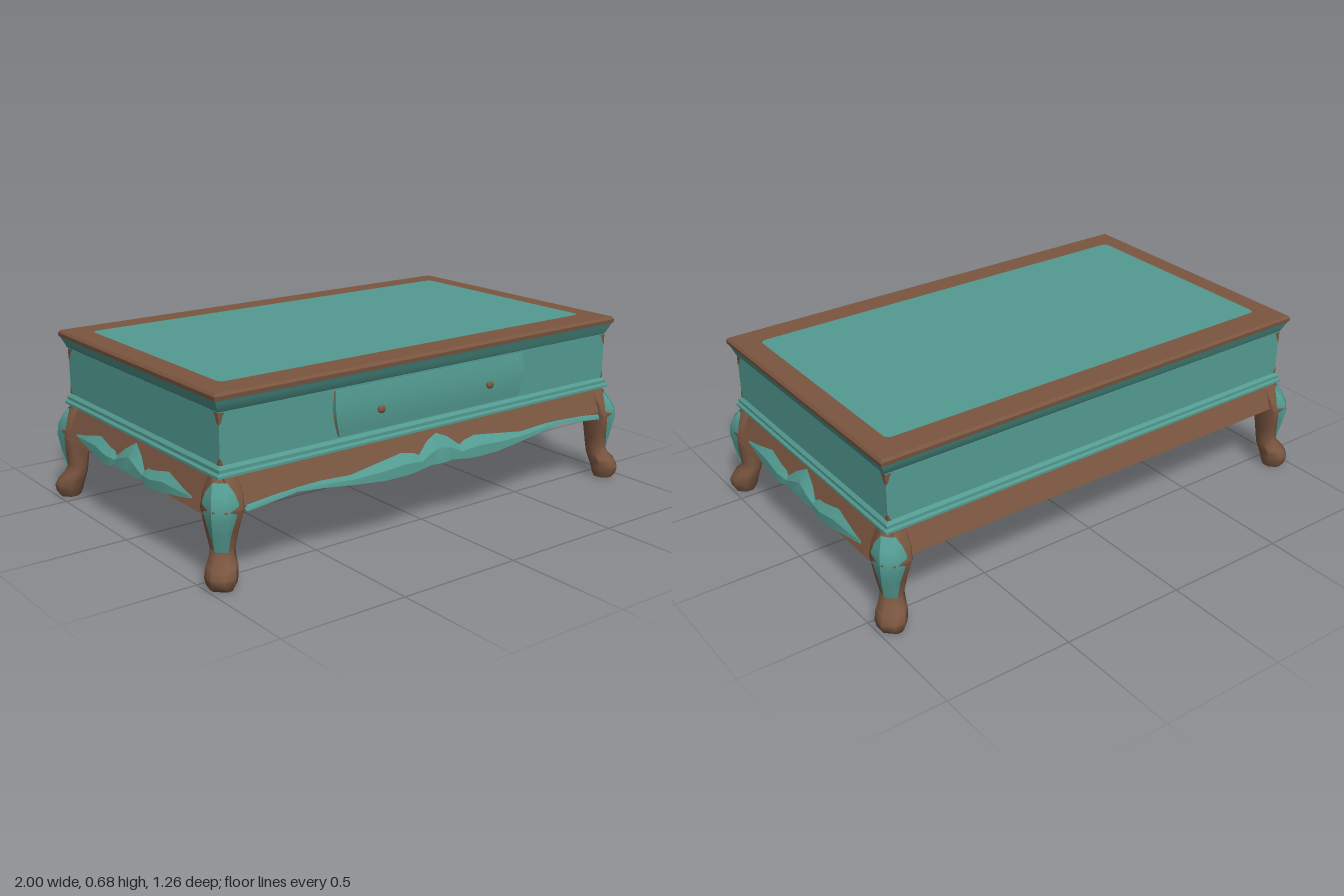
import * as THREE from 'three';
import { toCreasedNormals } from 'three/addons/utils/BufferGeometryUtils.js';

const teal = new THREE.MeshStandardMaterial({ color: 0x539b91, side: THREE.DoubleSide });
teal.name = 'teal paint';
const brown = new THREE.MeshStandardMaterial({ color: 0x7a5640, side: THREE.DoubleSide });
brown.name = 'brown wood';

// Skin a series of cross-sections; closed sections wrap round and can be capped.
function loft(rings, { closed = true, caps = true, crease = 0.6 } = {}) {
  const pos = [];
  const tri = (a, b, c) => pos.push(...a, ...b, ...c);
  const n = rings[0].length;
  for (let i = 0; i < rings.length - 1; i++) {
    for (let j = 0; j < (closed ? n : n - 1); j++) {
      const k = (j + 1) % n;
      const a = rings[i][j], b = rings[i][k], c = rings[i + 1][k], d = rings[i + 1][j];
      tri(a, d, b);
      tri(b, d, c);
    }
  }
  if (closed && caps) {
    const first = rings[0], last = rings[rings.length - 1];
    for (let j = 1; j < n - 1; j++) {
      tri(first[0], first[j], first[j + 1]);
      tri(last[0], last[j + 1], last[j]);
    }
  }
  const geo = new THREE.BufferGeometry();
  geo.setAttribute('position', new THREE.Float32BufferAttribute(pos, 3));
  geo.computeVertexNormals();
  return toCreasedNormals(geo, crease);
}

function add(parent, name, geo, mat) {
  const mesh = new THREE.Mesh(geo, mat);
  mesh.name = name;
  parent.add(mesh);
  return mesh;
}

// Rectangular moulding from [y, halfX, halfZ] levels.
const moulding = (levels) => loft(levels.map(([y, x, z]) =>
  [[-x, y, -z], [-x, y, z], [x, y, z], [x, y, -z]]));

// Linear lookup in rows sorted by their first entry.
function sample(rows, t) {
  let i = 0;
  while (i < rows.length - 2 && t > rows[i + 1][0]) i++;
  const a = rows[i], b = rows[i + 1];
  const f = THREE.MathUtils.clamp((t - a[0]) / (b[0] - a[0]), 0, 1);
  return a.map((v, k) => v + (b[k] - v) * f);
}

// Leg levels: y, inner x, inner z, outer x, outer z, outer chamfer, other chamfers
const legRows = [
  [0, 0.905, 0.535, 0.985, 0.615, 0.035, 0.025],
  [0.02, 0.898, 0.525, 0.996, 0.627, 0.035, 0.03],
  [0.045, 0.894, 0.518, 1.0, 0.631, 0.035, 0.032],
  [0.075, 0.89, 0.51, 0.988, 0.622, 0.035, 0.028],
  [0.1, 0.887, 0.505, 0.968, 0.6, 0.03, 0.022],
  [0.13, 0.885, 0.502, 0.957, 0.587, 0.028, 0.02],
  [0.2, 0.88, 0.498, 0.969, 0.6, 0.03, 0.015],
  [0.28, 0.87, 0.495, 0.98, 0.617, 0.035, 0.01],
  [0.33, 0.866, 0.492, 0.966, 0.6, 0.035, 0.006],
  [0.385, 0.865, 0.49, 0.935, 0.56, 0.03, 0.004],
];

function makeLeg() {
  const leg = new THREE.Group();
  add(leg, 'curvedLeg', loft(legRows.map(([y, xi, zi, xo, zo, c, k]) => [
    [xi + k, y, zi], [xo - k, y, zi], [xo, y, zi + k], [xo, y, zo - c],
    [xo - c, y, zo], [xi + k, y, zo], [xi, y, zo - k], [xi, y, zi + k],
  ]), { crease: 0.9 }), brown);
  // carved leaf wrapped over the outer corner of the knee: [y, width]
  const leaf = [[0.368, 0.034], [0.335, 0.07], [0.3, 0.09], [0.26, 0.08], [0.2, 0.055], [0.13, 0.03]];
  add(leg, 'kneeLeaf', loft(leaf.map(([y, w]) => {
    const [, , , xo, zo, c] = sample(legRows, y);
    const e = 0.006;
    return [[xo + 0.002, y, zo - w * 1.1], [xo + e, y, zo - c], [xo - c / 2 + e, y, zo - c / 2 + e],
      [xo - c, y, zo + e], [xo - w * 0.9, y, zo + 0.002]];
  }), { closed: false, crease: 0.5 }), teal);
  return leg;
}

// Apron built facing +z: it flares outward towards its lower edge.
const flare = (y) => 0.6 + (0.29 - y) * 0.4;
function apron(half, dist, bottom) {
  const rings = [];
  for (let i = 0; i <= 24; i++) {
    const s = half * (i / 12 - 1), y = bottom(s), o = dist - 0.6;
    rings.push([[s, 0.385, 0.49 + o], [s, 0.385, flare(0.385) + o], [s, y, flare(y) + o],
      [s, Math.max(y, 0.3), 0.53 + o]]);
  }
  return loft(rings);
}

// Carved ornament along an apron: rows of [distance from middle, top y, bottom y].
function carving(rows, dist) {
  const all = [...rows.slice(1).reverse().map(([s, t, b]) => [-s, t, b]), ...rows];
  return loft(all.map(([s, t, b]) => {
    const m = t * 0.55 + b * 0.45, o = dist - 0.6;
    const d = Math.min(0.018, (t - b) * 0.25);
    return [[s, t, flare(t) + o + 0.002], [s, m, flare(m) + o + d],
      [s, b, flare(b) + o + 0.003], [s, b + 0.005, flare(b) + o - 0.02]];
  }), { closed: false, crease: 0.5 });
}

export function createModel() {
  const table = new THREE.Group();
  table.name = 'lowTable';

  // Carcass and mouldings
  add(table, 'lowerMoulding', moulding([[0.38, 0.932, 0.555], [0.383, 0.946, 0.568],
    [0.392, 0.946, 0.568], [0.4, 0.938, 0.562], [0.412, 0.938, 0.562], [0.426, 0.925, 0.55]]), teal);
  add(table, 'carcass', moulding([[0.42, 0.927, 0.552], [0.607, 0.927, 0.552]]), teal);
  add(table, 'upperMoulding', moulding([[0.604, 0.922, 0.546], [0.612, 0.932, 0.553],
    [0.645, 0.946, 0.567], [0.656, 0.952, 0.573]]), teal);
  add(table, 'topEdge', moulding([[0.655, 0.954, 0.575], [0.67, 0.956, 0.577], [0.68, 0.948, 0.569]]), brown);

  // Painted centre of the top with small rounded corners
  const panel = new THREE.Shape();
  const px = 0.865, pz = 0.465, r = 0.025;
  panel.absarc(px - r, pz - r, r, 0, Math.PI / 2);
  panel.absarc(-px + r, pz - r, r, Math.PI / 2, Math.PI);
  panel.absarc(-px + r, -pz + r, r, Math.PI, Math.PI * 1.5);
  panel.absarc(px - r, -pz + r, r, Math.PI * 1.5, Math.PI * 2);
  const inset = add(table, 'topPanel', new THREE.ShapeGeometry(panel, 4), teal);
  inset.rotation.x = -Math.PI / 2;
  inset.position.y = 0.682;

  // Gently bowed drawer front with curved ends
  const drawer = [];
  for (let i = 0; i <= 8; i++) {
    const t = i / 8, y = 0.43 + 0.17 * t, bow = Math.sin(Math.PI * t);
    const x = 0.437 + 0.015 * t + 0.012 * bow, z = 0.558 + 0.008 * bow;
    drawer.push([[-x, y, 0.55], [-x, y, z], [x, y, z], [x, y, 0.55]]);
  }
  add(table, 'drawerFront', loft(drawer), teal);
  // thin dark gap at each end of the drawer
  for (const side of [-1, 1]) {
    add(table, 'drawerGap', loft(drawer.map((ring) => {
      const [x, y] = ring[2];
      return [[side * x, y, 0.5535], [side * (x + 0.004), y, 0.5535]];
    }), { closed: false }), brown);
    const knob = new THREE.Group();
    knob.name = 'drawerKnob';
    knob.position.set(side * 0.265, 0.507, 0.562);
    const stem = add(knob, 'knobStem', new THREE.CylinderGeometry(0.006, 0.009, 0.02, 8), brown);
    stem.rotation.x = Math.PI / 2;
    stem.position.z = 0.008;
    const head = add(knob, 'knobHead', new THREE.SphereGeometry(0.016, 10, 8), brown);
    head.scale.set(1.1, 0.9, 0.5);
    head.position.z = 0.018;
    table.add(knob);
  }

  // Aprons and underside
  const frontCurve = (s) => 0.268 + 0.024 * Math.min(1, Math.abs(s) / 0.6);
  add(table, 'frontApron', apron(0.92, 0.6, frontCurve), brown);
  add(table, 'backApron', apron(0.92, 0.6, () => 0.292), brown).rotation.y = Math.PI;
  const frontCarving = [[0, 0.366, 0.258], [0.05, 0.345, 0.262], [0.1, 0.306, 0.256], [0.125, 0.318, 0.252],
    [0.18, 0.327, 0.249], [0.28, 0.315, 0.25], [0.42, 0.298, 0.264], [0.55, 0.304, 0.279],
    [0.65, 0.302, 0.288], [0.75, 0.297, 0.278], [0.86, 0.288, 0.268]];
  add(table, 'frontCarving', carving(frontCarving, 0.6), teal);
  const sideCarving = [[0, 0.364, 0.256], [0.06, 0.33, 0.257], [0.105, 0.292, 0.26], [0.125, 0.305, 0.252],
    [0.165, 0.308, 0.246], [0.255, 0.328, 0.256], [0.37, 0.302, 0.274], [0.433, 0.292, 0.286]];
  for (const side of [-1, 1]) {
    const end = new THREE.Group();
    end.name = side > 0 ? 'leftApronSide' : 'rightApronSide';
    end.rotation.y = side * Math.PI / 2;
    add(end, 'sideApron', apron(0.54, 0.966, () => 0.257), brown);
    add(end, 'sideCarving', carving(sideCarving, 0.966), teal);
    table.add(end);
  }
  const underside = add(table, 'underside', new THREE.BoxGeometry(1.82, 0.08, 1.08), brown);
  underside.position.y = 0.342;

  // Four mirrored legs and the worn corner patches above them
  const patch = [[0, 0, 0], [0.035, 0, 0], [0.022, 0.014, 0], [0.013, 0.035, 0], [0, 0.042, 0]];
  for (const sx of [-1, 1]) for (const sz of [-1, 1]) {
    const leg = makeLeg();
    leg.name = (sz > 0 ? 'front' : 'back') + (sx > 0 ? 'Left' : 'Right') + 'Leg';
    leg.scale.set(sx, 1, sz);
    const shape = new THREE.Shape(patch.map(([x, y]) => new THREE.Vector2(x, y)));
    for (const [y, dir, size] of [[0.606, -1, 1], [0.424, 1, 0.6]]) {
      const face = add(leg, 'cornerPatchFace', new THREE.ShapeGeometry(shape), brown);
      face.position.set(0.928, y, 0.5535);
      face.scale.set(-0.7 * size, dir * size, 1);
      const flank = add(leg, 'cornerPatchSide', new THREE.ShapeGeometry(shape), brown);
      flank.position.set(0.9285, y, 0.553);
      flank.rotation.y = Math.PI / 2;
      flank.scale.set(size, dir * size, 1);
    }
    table.add(leg);
  }
  return table;
}
